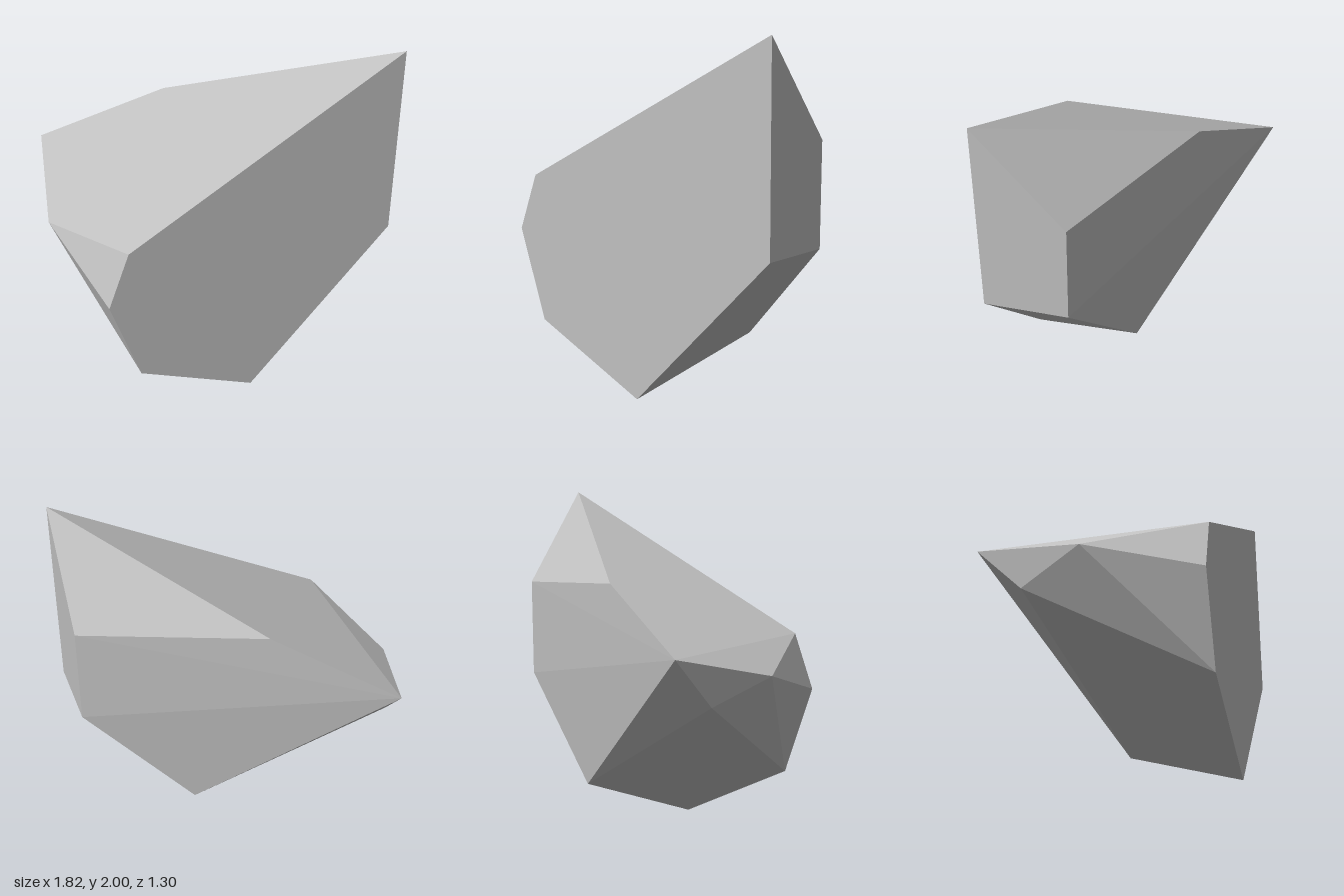
import * as THREE from 'three';
import { ConvexGeometry } from 'three/addons/geometries/ConvexGeometry.js';

export function createModel() {
  const model = new THREE.Group();
  model.name = 'rock';

  const stoneGrey = new THREE.MeshStandardMaterial({ color: 0xc0c0c0 });
  stoneGrey.name = 'stoneGrey';

  const zFront = 0.65;
  // flat front outline, clockwise from the peak
  const front = [[0.91, 2], [0.91, 0.87], [0.04, 0], [-0.65, 0.35], [-0.82, 0.87], [-0.7, 1.19]]
    .map(([x, y]) => new THREE.Vector3(x, y, zFront));

  // corners of the chipped back and sides
  const back = [
    [0.91, 1.45, 0.165], [0.91, 0.87, 0.175], // flat +x side
    [-0.06, 1.52, -0.32], [-0.71, 1.19, -0.65], // upper back ridge
    [0.31, 0.275, -0.05], [-0.757, 0.905, -0.37], // underside
    [-0.91, 1.04, 0], // -x tip
  ].map((p) => new THREE.Vector3(...p));

  // faceted stone body
  const body = new THREE.Mesh(new ConvexGeometry([...front, ...back]), stoneGrey);
  body.name = 'rockBody';
  model.add(body);
  return model;
}
